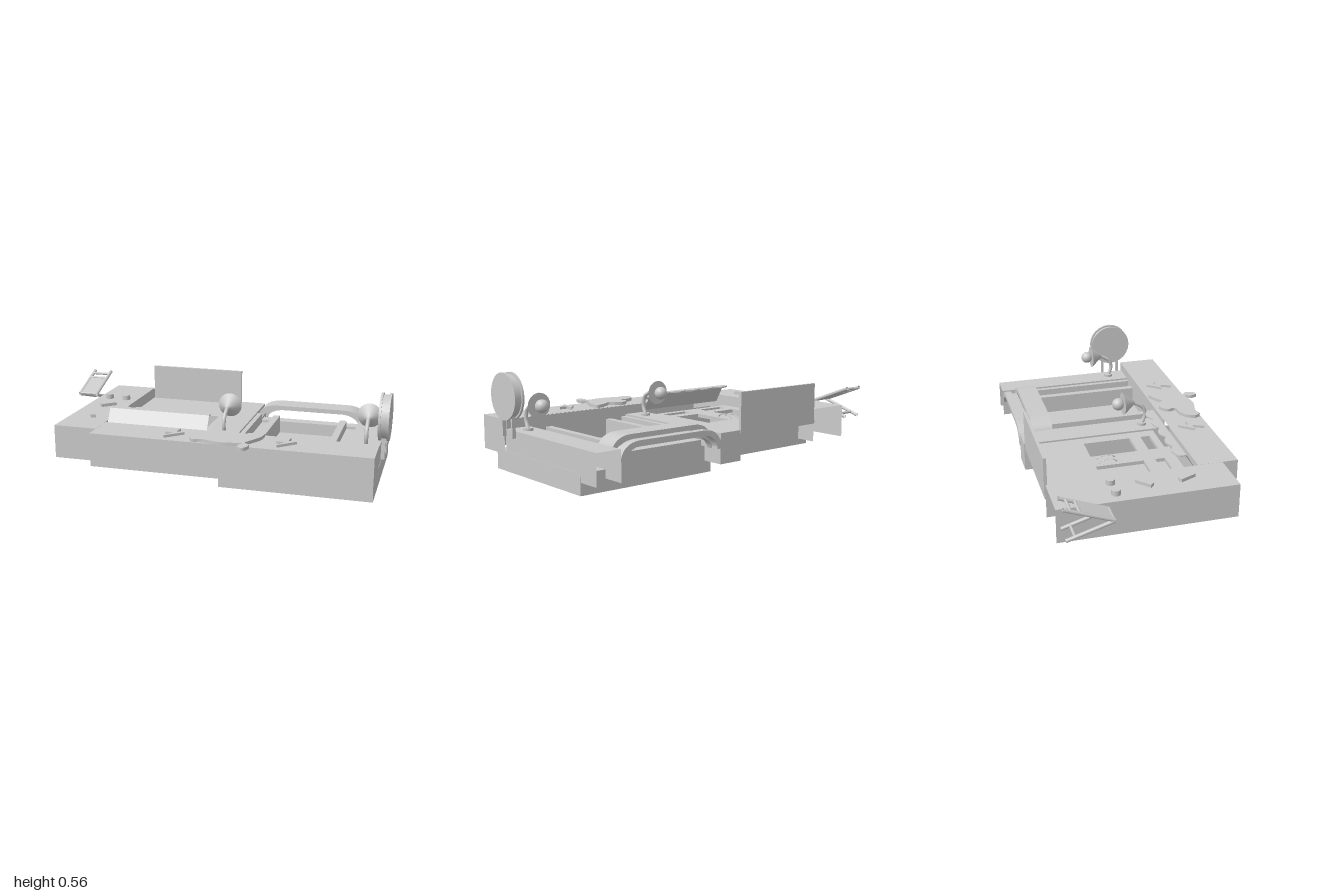
import * as THREE from 'three';

const grey = new THREE.MeshStandardMaterial({ color: 0xcacaca });
grey.name = 'plain grey';
const greyOpen = new THREE.MeshStandardMaterial({ color: 0xcacaca, side: THREE.DoubleSide });
greyOpen.name = 'plain grey open';

export function createModel() {
  const root = new THREE.Group();
  root.name = 'playset';

  const add = (name, geo, parent = root, mat = grey) => {
    const m = new THREE.Mesh(geo, mat);
    m.name = name;
    parent.add(m);
    return m;
  };
  // Box given by its limits on each axis
  const box = (name, x0, x1, y0, y1, z0, z1) => add(name,
    new THREE.BoxGeometry(x1 - x0, y1 - y0, z1 - z0)
      .translate((x0 + x1) / 2, (y0 + y1) / 2, (z0 + z1) / 2));
  // Two-sided box with some faces left out
  const TOP = 2, BOTTOM = 3, BACK = 5;
  const openBox = (name, skip, ...limits) => {
    const m = box(name, ...limits);
    m.geometry.setIndex(Array.from(m.geometry.index.array).filter((_, i) => !skip.includes(Math.floor(i / 6))));
    m.geometry.clearGroups();
    m.material = greyOpen;
  };
  // Flat plate from an outline of [x, z] points, lying at height y
  const plateGeo = (shape, y, h) => new THREE.ExtrudeGeometry(shape,
    { depth: h, bevelEnabled: false, curveSegments: 10 }).rotateX(-Math.PI / 2).translate(0, y, 0);
  const outline = pts => pts.map(([x, z]) => new THREE.Vector2(x, -z));
  const rod = (name, a, b, r, parent) => add(name,
    new THREE.TubeGeometry(new THREE.LineCurve3(new THREE.Vector3(...a), new THREE.Vector3(...b)), 1, r, 8), parent, greyOpen);

  // Raised left and front counters
  const top = 0.303;
  openBox('leftCounter', [BOTTOM, BACK], -0.83, -0.58, 0.115, top, -0.55, 0.402);
  openBox('frontCounter', [BOTTOM, BACK], -0.579, 0.955, 0.115, top, 0.265, 0.49);

  // Lower bodies
  openBox('leftBase', [TOP], -0.65, 0.09, 0.08, 0.22, -0.435, 0.33);
  box('rightBase', 0.11, 0.945, 0.02, 0.13, -0.435, 0.365);
  box('recessBackWall', 0.155, 0.8, 0.13, 0.2, -0.435, -0.365);
  box('recessFrontWall', 0.012, 0.943, 0.12, top - 0.002, 0.264, 0.272);
  openBox('middleBar', [BOTTOM], 0.012, 0.155, 0.085, 0.25, -0.56, 0.264);
  openBox('rightBar', [BOTTOM, BACK], 0.8, 0.943, 0.085, 0.25, -0.565, 0.264);
  const spike = new THREE.Shape([[0.843, 0.02], [0.85, 0], [0.857, 0.02]].map(p => new THREE.Vector2(...p)));
  add('spike', new THREE.ShapeGeometry(spike).translate(0, 0, -0.23), root, greyOpen);

  // Left deck with four openings
  const deckTop = 0.24;
  const deck = new THREE.Shape(outline([[-0.58, 0.2], [0.012, 0.2], [0.012, -0.555], [-0.58, -0.555]]));
  for (const x of [-0.505, -0.22]) {
    for (const [z0, z1] of [[-0.23, 0.04], [0.105, 0.16]]) {
      deck.holes.push(new THREE.Path(outline([[x, z0], [x, z1], [x + 0.165, z1], [x + 0.165, z0]])));
    }
  }
  add('deck', plateGeo(deck, deckTop - 0.02, 0.02));

  // Awning over the deck's front: leaning panel and scalloped flap
  const awning = add('awningPanel', new THREE.PlaneGeometry(0.587, Math.hypot(0.065, 0.11)), root, greyOpen);
  awning.position.set(-0.281, 0.315, 0.2325);
  awning.rotation.x = -Math.atan2(0.065, 0.11);
  const wave = [[-0.575, 0.2], [0.012, 0.2]];
  for (let i = 0; i <= 40; i++) {
    wave.push([0.012 - 0.587 * i / 40, 0.165 - 0.025 * Math.abs(Math.sin(i / 40 * Math.PI * 5))]);
  }
  add('awningFlap', plateGeo(new THREE.Shape(outline(wave)), 0.362, 0.008));

  // Low handles between the openings
  for (const x of [-0.305, -0.255]) {
    const handle = add('handle', new THREE.TorusGeometry(0.05, 0.005, 6, 14, Math.PI));
    handle.position.set(x, deckTop, -0.155);
    handle.rotation.y = Math.PI / 2;
    handle.scale.y = 0.35;
  }

  // Upright board at the back
  box('backBoard', -0.575, 0.006, deckTop - 0.01, 0.452, -0.5565, -0.54);

  // Rounded vault behind the recess, stepped down at the rear
  const vault = (name, h, z0, z1) => {
    const trace = (p, inset, y, r) => {
      const a = 0.155 + inset, b = 0.8 - inset;
      p.moveTo(a, 0.17);
      p.lineTo(a, y - r);
      p.quadraticCurveTo(a + 0.02, y, a + 0.12, y);
      p.lineTo(b - 0.12, y);
      p.quadraticCurveTo(b - 0.02, y, b, y - r);
      p.lineTo(b, 0.17);
    };
    const s = new THREE.Shape();
    trace(s, 0, h, 0.08);
    const inner = new THREE.Path();
    trace(inner, 0.025, h - 0.025, 0.07);
    for (const p of inner.getPoints(10).reverse()) s.lineTo(p.x, p.y);
    s.closePath();
    add(name, new THREE.ExtrudeGeometry(s, { depth: z1 - z0, bevelEnabled: false, curveSegments: 10 }).translate(0, 0, z0));
  };
  vault('vaultRear', 0.278, -0.563, -0.52);
  vault('vaultGroove', 0.262, -0.52, -0.485);
  vault('vaultFront', 0.297, -0.485, -0.365);

  // Recess rails and shelves, mirrored about the recess centre
  for (const side of [-1, 1]) {
    const span = (name, a, b, y1) => {
      const [x0, x1] = [0.4775 + side * a, 0.4775 + side * b].sort((p, q) => p - q);
      box(name, x0, x1, 0.13, y1, -0.365, 0.265);
    };
    span('innerRail', 0.183, 0.222, 0.235);
    span('shelf', 0.222, 0.295, 0.185);
    span('outerRail', 0.295, 0.3225, 0.24);
  }

  // Flat ornaments on the front counter
  const blob = new THREE.SplineCurve(outline([[-0.02, 0.45], [0, 0.405], [0.05, 0.375], [0.11, 0.37], [0.105, 0.32],
    [0.15, 0.285], [0.2, 0.3], [0.235, 0.325], [0.28, 0.295], [0.345, 0.275], [0.345, 0.35], [0.31, 0.42], [0.285, 0.47],
    [0.315, 0.5], [0.305, 0.55], [0.275, 0.56], [0.26, 0.52], [0.27, 0.485], [0.16, 0.5], [0.05, 0.475], [0, 0.485], [-0.02, 0.45]]));
  add('animalPlate', plateGeo(new THREE.Shape(blob.getPoints(84)), top, 0.018));
  for (const dx of [0, 0.615]) {
    add('boltPlate', plateGeo(new THREE.Shape(outline([[-0.115, 0.31], [-0.18, 0.39], [-0.135, 0.39],
      [-0.165, 0.455], [-0.075, 0.37], [-0.12, 0.37]])), top, 0.014).translate(dx, 0, 0));
  }

  // Knobs and sticks on the left counter
  for (const x of [-0.76, -0.65]) add('knob', new THREE.CylinderGeometry(0.024, 0.024, 0.028, 16).translate(x, top + 0.014, -0.23));
  for (const [z, a] of [[-0.065, 0.75], [0.16, -1.15]]) {
    const stick = add('stick', new THREE.BoxGeometry(0.095, 0.018, 0.03));
    stick.position.set(-0.7, top + 0.009, z);
    stick.rotation.y = a;
  }

  // Two lamps facing the back
  for (const x of [0.09, 0.875]) {
    const lamp = new THREE.Group();
    lamp.name = 'lamp';
    lamp.position.x = x;
    root.add(lamp);
    add('lampFoot', new THREE.CylinderGeometry(0.027, 0.027, 0.014, 16).translate(0, 0.257, 0.155), lamp);
    const arm = new THREE.CatmullRomCurve3([[0, 0.255, 0.155], [0, 0.31, 0.175], [0, 0.36, 0.16], [0, 0.395, 0.105]].map(p => new THREE.Vector3(...p)));
    add('lampArm', new THREE.TubeGeometry(arm, 12, 0.011, 8), lamp, greyOpen);
    add('lampShade', new THREE.ConeGeometry(0.067, 0.08, 24).rotateX(Math.PI / 2).translate(0, 0.395, 0.08), lamp);
    add('lampBulb', new THREE.SphereGeometry(0.036, 16, 12).translate(0, 0.395, 0.012), lamp);
  }

  // Round drum on two posts at the left side
  for (const [r, x0, x1] of [[0.126, 0.945, 0.957], [0.116, 0.957, 0.988], [0.126, 0.988, 1.0]]) {
    add('drum', new THREE.CylinderGeometry(r, r, x1 - x0, 24).rotateZ(Math.PI / 2).translate((x0 + x1) / 2, 0.437, 0.19));
  }
  for (const z of [0.24, 0.14]) box('drumPost', 0.962, 0.982, 0.22, 0.35, z - 0.007, z + 0.007);

  // Folding seat at the right rear
  const seat = new THREE.Group();
  seat.name = 'foldingSeat';
  root.add(seat);
  for (const x of [-0.99, -0.88]) {
    rod('seatRail', [x, 0.3, -0.295], [x, 0.395, -0.545], 0.01, seat);
    rod('seatLeg', [x, 0.225, -0.535], [x, 0.297, -0.3], 0.01, seat);
  }
  for (const [y, z] of [[0.385, -0.51], [0.368, -0.465], [0.24, -0.49], [0.303, -0.3]]) {
    rod('seatRung', [-0.99, y, z], [-0.88, y, z], 0.008, seat);
  }
  const panel = add('seatPanel', new THREE.BoxGeometry(0.096, 0.01, 0.175), seat);
  panel.position.set(-0.935, 0.331, -0.375);
  panel.rotation.x = Math.atan2(0.095, 0.25);

  return root;
}
